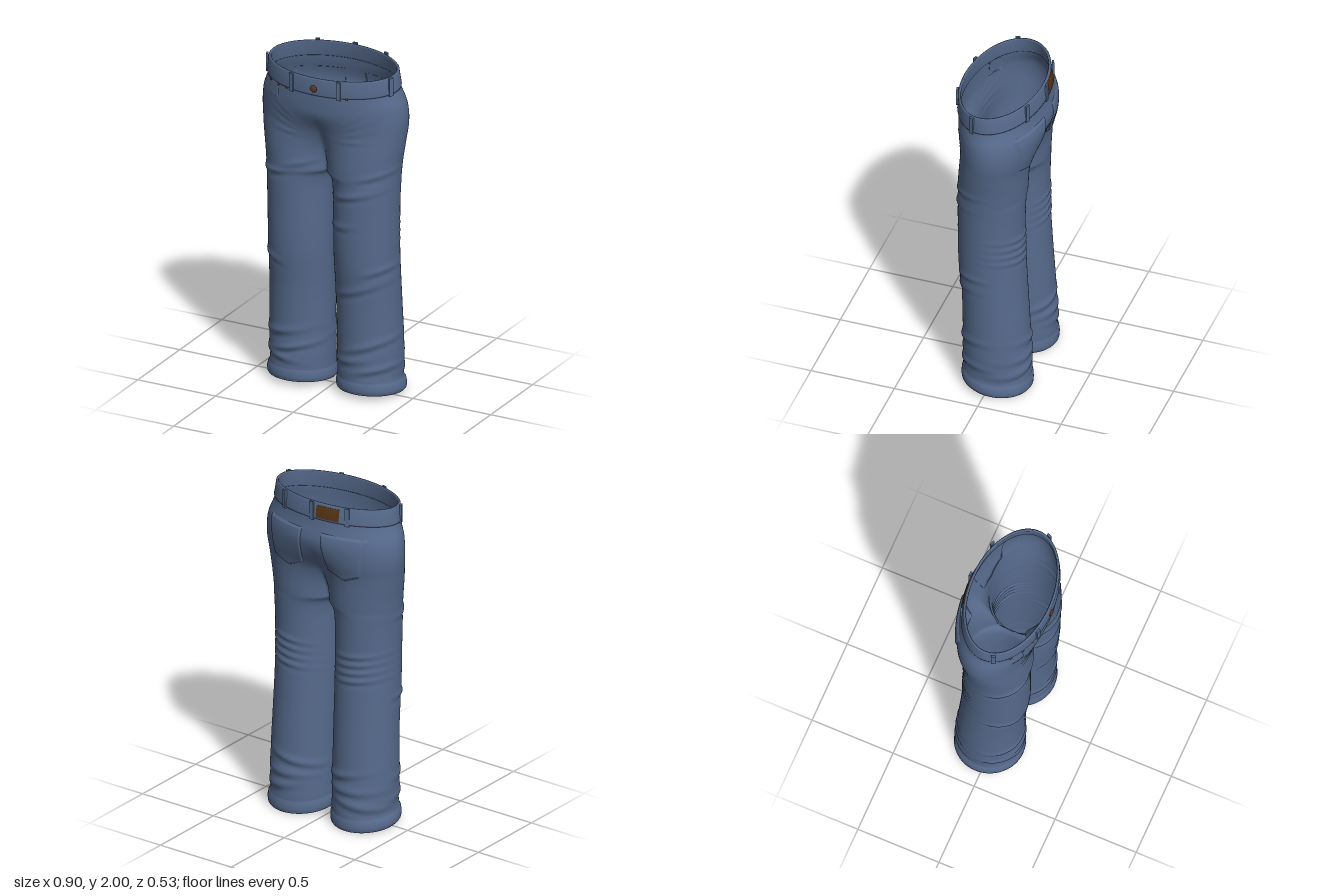
import * as THREE from 'three';
import { mergeVertices } from 'three/addons/utils/BufferGeometryUtils.js';

const { clamp, smoothstep, lerp } = THREE.MathUtils;

// Smooth lookup through [height, value] knots
function profile(knots) {
  const slope = (i) => {
    const a = knots[Math.max(i - 1, 0)], b = knots[Math.min(i + 1, knots.length - 1)];
    return (b[1] - a[1]) / (b[0] - a[0]);
  };
  return (y) => {
    if (y <= knots[0][0]) return knots[0][1];
    for (let i = 0; i < knots.length - 1; i++) {
      const [y0, a] = knots[i], [y1, b] = knots[i + 1];
      if (y > y1) continue;
      const h = y1 - y0, t = (y - y0) / h, t2 = t * t, t3 = t2 * t;
      return a * (2 * t3 - 3 * t2 + 1) + b * (3 * t2 - 2 * t3)
        + h * (slope(i) * (t3 - 2 * t2 + t) + slope(i + 1) * (t3 - t2));
    }
    return knots[knots.length - 1][1];
  };
}

const CROTCH = 1.345, DELTA = 0.436;
const outerX = profile([[0.02, 0.412], [0.06, 0.414], [0.12, 0.404], [0.2, 0.407], [0.35, 0.406], [0.6, 0.4], [0.9, 0.398],
  [1.2, 0.403], [1.4, 0.416], [1.55, 0.437], [1.68, 0.451], [1.78, 0.441], [1.88, 0.405], [1.99, 0.391]]);
const innerX = profile([[0.02, 0.03], [0.5, 0.028], [0.9, 0.023], [1.2, 0.022], [1.28, 0.016], [1.32, 0.004], [1.345, -0.0202]]);
const frontZ = profile([[0.02, 0.175], [0.4, 0.178], [0.62, 0.185], [0.85, 0.206], [1.2, 0.21], [1.4, 0.212],
  [1.6, 0.222], [1.75, 0.245], [1.85, 0.25], [1.99, 0.246]]);
const backZ = profile([[0.02, -0.22], [0.2, -0.217], [0.45, -0.205], [0.7, -0.19], [1, -0.177], [1.25, -0.178],
  [1.42, -0.19], [1.55, -0.213], [1.66, -0.248], [1.75, -0.259], [1.85, -0.238], [1.99, -0.217]]);
const tilt = profile([[0, 0.085], [0.1, 0.07], [0.35, 0], [1.6, 0], [1.8, -0.08], [2, -0.08]]);

// Cloth folds: x, y, slope, half length, width, height, face (1 front, -1 back)
const FOLDS = [
  [-0.3, 1.32, 0.2, 0.13, 0.02, 0.009, 1], [-0.15, 1.39, 0.25, 0.1, 0.02, 0.006, 1],
  [-0.34, 0.79, -0.2, 0.08, 0.02, 0.009, 1], [-0.28, 0.33, 0.2, 0.14, 0.025, 0.009, 1],
  [-0.2, 0.24, 0.25, 0.14, 0.022, 0.009, 1], [-0.3, 0.17, -0.15, 0.12, 0.022, 0.009, 1],
  [0.2, 1.25, 0.25, 0.13, 0.02, 0.009, 1], [0.32, 1.38, 0.3, 0.1, 0.02, 0.007, 1],
  [0.12, 1.05, 0.2, 0.09, 0.02, 0.007, 1], [0.22, 0.67, 0.35, 0.14, 0.022, 0.008, 1],
  [0.35, 0.8, 0.3, 0.07, 0.02, 0.007, 1], [0.28, 0.33, 0.35, 0.13, 0.024, 0.01, 1],
  [0.15, 0.22, 0.2, 0.12, 0.024, 0.008, 1], [0.32, 0.18, 0.25, 0.1, 0.022, 0.009, 1],
];
for (const s of [-1, 1]) {
  for (const k of [0, 1, 2, 3]) {
    FOLDS.push([s * 0.2, 1.72 - k * 0.045, s * (0.75 - k * 0.22), 0.09, 0.014, 0.0035, 1]); // hip whiskers
    FOLDS.push([s * 0.24, 1.07 - k * 0.05, s * 0.12, 0.12, 0.017, 0.007, -1]);             // behind the knee
  }
  for (const k of [0, 1, 2]) FOLDS.push([s * (0.16 + 0.06 * k), 0.33 - k * 0.08, s * (0.2 - k * 0.2), 0.14, 0.024, 0.009, -1]);
}
function foldHeight(x, y, z) {
  let d = 0;
  for (const [fx, fy, m, len, w, amp, face] of FOLDS) {
    const t = (y - fy - m * (x - fx)) / w, l = (x - fx) / len;
    d += amp * (Math.exp(-t * t) - 0.5 * Math.exp(-((t + 1.4) ** 2))) * Math.exp(-l * l) * clamp(face * z / 0.12 + 0.5, 0, 1);
  }
  return d;
}

// Point on one half: s runs front seam -> outside -> back seam; inner runs back seam -> thigh -> front seam
function surf(sign, s, v, off = 0, inner = false) {
  const X = outerX(v) + off, zf = frontZ(v) + off, zb = backZ(v) - off;
  const cz = (zf + zb) / 2, rz = (zf - zb) / 2;
  const low = v < CROTCH ? innerX(v) - off : 0;
  const r = v < CROTCH ? (X - low) / 2 : X / (1 + Math.cos(DELTA));
  const a = inner ? lerp(-(Math.PI - DELTA), -(Math.PI + DELTA), s) : lerp(Math.PI - DELTA, DELTA - Math.PI, s);
  const b = lerp(Math.PI / 2, -Math.PI / 2, s);
  const w = smoothstep(v, CROTCH, 1.77);
  let x = lerp(X - r + r * Math.cos(a), X * Math.cos(b), inner ? 0 : w);
  let z = cz + rz * lerp(Math.sin(a), Math.sin(b), inner ? 0 : w);
  if (v >= CROTCH - 1e-6 && (inner || s < 1e-6 || s > 1 - 1e-6)) x = 0;
  x = Math.max(x, 0);
  const d = foldHeight(sign * x, v, z - cz);
  z += d * Math.sin(a);
  x += d * Math.cos(a) * clamp(x / 0.05, 0, 1);
  return new THREE.Vector3(sign * Math.max(x, 0), v + tilt(v) * z, z);
}

// Point at a given x on the front (face 1) or back (face -1)
function onFace(x, v, face, off = 0) {
  const sign = x < 0 ? -1 : 1;
  let lo = face > 0 ? 0 : 1, hi = 0.5;
  for (let i = 0; i < 30; i++) {
    const mid = (lo + hi) / 2;
    if (Math.abs(surf(sign, mid, v, off).x) < Math.abs(x)) lo = mid; else hi = mid;
  }
  return surf(sign, lo, v, off);
}

// Joins grids of points into one smooth surface
function skin(grids) {
  const pos = [], idx = [];
  for (const { rows, flip } of grids) {
    const base = pos.length / 3, n = rows[0].length;
    rows.forEach((row) => row.forEach((p) => pos.push(p.x, p.y, p.z)));
    for (let j = 0; j < rows.length - 1; j++) for (let i = 0; i < n - 1; i++) {
      const a = base + j * n + i, b = a + 1, c = a + n, d = c + 1;
      if (flip) idx.push(a, b, c, b, d, c); else idx.push(a, c, b, b, c, d);
    }
  }
  let g = new THREE.BufferGeometry();
  g.setAttribute('position', new THREE.Float32BufferAttribute(pos, 3));
  g.setIndex(idx);
  g = mergeVertices(g, 1e-4);
  g.computeVertexNormals();
  return g;
}
const line = (n, fn) => Array.from({ length: n + 1 }, (_, i) => fn(i / n));

// Raised cloth panel hugging the body, with its border tucked in
function panel(n, face, height, place) {
  const rows = line(n, (v) => line(n, (u) => {
    const [x, y] = place(u, v);
    const edge = u === 0 || u === 1 || v === 0 || v === 1;
    return onFace(x, y, face, edge ? -0.004 : height);
  }));
  return skin([{ rows, flip: face < 0 }]);
}

export function createModel() {
  const model = new THREE.Group();
  const denim = new THREE.MeshStandardMaterial({ color: 0x566a8c, side: THREE.DoubleSide });
  denim.name = 'denim';
  const leather = new THREE.MeshStandardMaterial({ color: 0x573515, side: THREE.DoubleSide });
  leather.name = 'leather';
  const copper = new THREE.MeshStandardMaterial({ color: 0x5e3a22 });
  copper.name = 'copper';
  const add = (name, geometry, material) => {
    const mesh = new THREE.Mesh(geometry, material);
    mesh.name = name;
    model.add(mesh);
    return mesh;
  };

  // Legs and hips, starting with the turned-in hem
  const levels = [[0.12, -0.014], [0.03, -0.014], [0.023, -0.008], [0.022, 0], [0.03, 0.006], [0.05, 0.008], [0.08, 0.006], [0.09, 0]];
  for (let i = 1; i <= 125; i++) levels.push([lerp(0.09, CROTCH, i / 125), 0]);
  const legLevels = levels.slice();
  for (let i = 1; i <= 60; i++) levels.push([lerp(CROTCH, 1.97, i / 60), 0]);
  const grids = [];
  for (const sign of [-1, 1]) {
    grids.push({ rows: levels.map(([v, o]) => line(64, (s) => surf(sign, s, v, o))), flip: sign < 0 });
    grids.push({ rows: legLevels.map(([v, o]) => line(20, (s) => surf(sign, s, v, o, true))), flip: sign < 0 });
  }
  add('trouserBody', skin(grids), denim);

  // Waistband
  const band = [[1.883, -0.003], [1.882, 0.006], [1.89, 0.009], [1.93, 0.009], [1.976, 0.008], [1.983, 0.003], [1.983, -0.003],
    [1.976, -0.008], [1.89, -0.008], [1.883, -0.003]];
  add('waistband', skin([-1, 1].map((sign) => ({
    rows: band.map(([v, o]) => line(48, (s) => surf(sign, s, v, o))), flip: sign < 0,
  }))), denim);

  // Belt loops
  const loopGeometry = new THREE.BoxGeometry(0.026, 0.11, 0.012);
  const loops = [[1, 0.12], [-1, 0.12], [1, 0.42], [-1, 0.42], [1, 0.82], [-1, 0.82], [1, 1]];
  for (const [sign, s] of loops) {
    const p = surf(sign, s, 1.928, 0.013);
    const q = surf(sign, Math.min(s + 0.01, 1), 1.928, 0.013), o = surf(sign, s - 0.01, 1.928, 0.013);
    const loop = add('beltLoop', loopGeometry, denim);
    loop.position.copy(p);
    loop.rotation.y = s === 1 ? Math.PI : Math.atan2(sign * (o.z - q.z), sign * (q.x - o.x)) + (sign < 0 ? Math.PI : 0);
  }

  // Back pockets with pointed lower edge
  for (const sign of [-1, 1]) {
    add('backPocket', panel(24, -1, 0.008, (u, v) => {
      const bottom = 1.585 - 0.045 * (1 - Math.abs(2 * u - 1));
      return [sign * lerp(lerp(0.085, 0.3, u), lerp(0.06, 0.345, u), v), lerp(bottom, 1.81, v)];
    }), denim);
  }

  // Small coin pocket
  add('coinPocket', panel(12, 1, 0.003, (u, v) => [lerp(-0.34, -0.255, u), lerp(1.785, 1.885, v)]), denim);

  // Leather patch on the waistband
  add('leatherPatch', skin([{
    rows: [[1.892, 0.006], [1.893, 0.014], [1.966, 0.014], [1.967, 0.006]].map(([v, o]) =>
      line(12, (u) => onFace(lerp(-0.175, -0.03, u), v, -1, o))), flip: true,
  }]), leather);

  // Button and rivets
  const stud = (name, x, v, radius, off) => {
    const p = onFace(x, v, 1, off), a = onFace(x - 0.012, v, 1, off), b = onFace(x + 0.012, v, 1, off);
    const mesh = add(name, new THREE.SphereGeometry(radius, 20, 12), copper);
    mesh.scale.z = 0.45;
    mesh.position.copy(p);
    mesh.rotation.y = x === 0 ? 0 : Math.atan2(a.z - b.z, b.x - a.x);
  };
  stud('button', 0, 1.922, 0.021, 0.011);
  for (const x of [-0.33, -0.26]) stud('rivet', x, 1.874, 0.01, 0.004);
  for (const x of [-0.19, 0.195]) stud('rivet', x, 1.881, 0.008, 0.006);
  return model;
}
